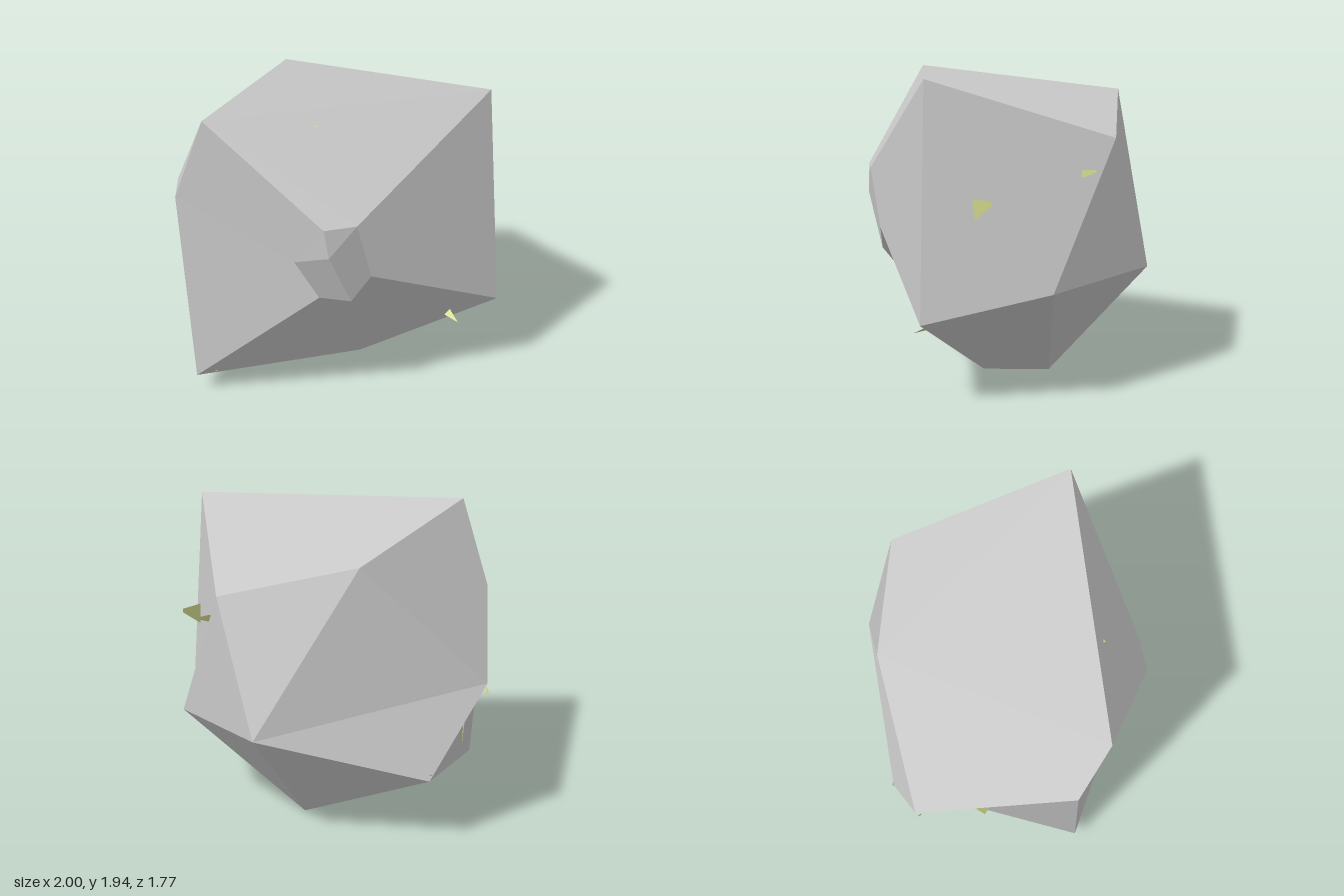
import * as THREE from 'three';

const points = (rows) => rows.map((p) => new THREE.Vector3(...p));

// Corners of the faceted boulder
const rockCorners = points([
  // 0-3 upper face
  [-0.83, 1.89, 0.57], [0.89, 1.94, 0.45], [0.65, 1.575, -0.66], [-0.19, 1.785, -0.74],
  // 4-8 sides
  [-1, 1.35, 0.4], [-0.955, 1.035, -0.585], [1, 0.53, 0.48], [0.94, 0.7, -0.29], [0.43, 0.75, -0.885],
  // 9-12 underside
  [-0.93, 0.12, 0.45], [-0.62, 0.46, -0.76], [0.18, 0.005, 0.13], [0.17, 0, -0.29],
  // 13-19 blunt nose at the front
  [-0.18, 1.3, 0.885], [0.02, 1.3, 0.855], [-0.15, 1.12, 0.89], [-0.34, 1.06, 0.785],
  [-0.19, 0.8, 0.77], [0, 0.77, 0.79], [0.12, 0.93, 0.79],
]);

// Facets, each a fan from its first corner
const rockFacets = [
  [1, 2, 3, 0], [0, 13, 14, 1], // top and upper front
  [6, 1, 2, 7], [14, 19, 6, 1], // left side
  [2, 8, 7], [2, 3, 8], [3, 5, 8], [5, 8, 10], [8, 12, 10], [7, 8, 12], // back
  [6, 7, 12, 11], [9, 11, 12, 10], // underside
  [4, 9, 10, 5], [0, 3, 5, 4], [0, 4, 16, 13], [4, 9, 17, 16], // right side
  [9, 11, 18, 17], [11, 6, 19, 18], // lower front
  [13, 16, 15], [13, 15, 14], [15, 16, 17, 18], [15, 18, 19, 14], // nose
];

// Thin shards poking out of the rock, each a fan of corners
const shards = [
  [[0.885, 1.255, 0.18], [0.98, 1.255, 0.065], [0.98, 1.23, 0.065], [0.885, 1.125, 0.165]],
  [[0.72, 1.345, -0.45], [0.72, 1.395, -0.46], [0.775, 1.405, -0.535], [0.775, 1.39, -0.54]],
  [[0.67, 0.415, 0.44], [0.705, 0.45, 0.435], [0.735, 0.408, 0.54]],
  [[-0.85, 0.715, -0.12], [-0.85, 0.645, -0.22], [-0.84, 0.43, -0.16]],
  [[-0.95, 1.0, -0.55], [-0.965, 0.98, -0.58], [-0.945, 0.93, -0.56]],
  [[-0.19, 1.825, 0.575], [-0.17, 1.825, 0.575], [-0.18, 1.82, 0.59]],
  [[-0.825, 0.15, 0.46], [-0.8, 0.15, 0.46], [-0.81, 0.155, 0.475]],
  [[-0.64, 0.5, -0.755], [-0.61, 0.5, -0.76], [-0.63, 0.51, -0.765]],
];

// Polygons facing away from the centre, each shaded with one averaged normal
function facetGeometry(polygons, center) {
  const positions = [];
  const normals = [];
  for (const corners of polygons) {
    const fan = [];
    const normal = new THREE.Vector3();
    for (let i = 1; i < corners.length - 1; i++) {
      const triangle = new THREE.Triangle(corners[0], corners[i], corners[i + 1]);
      normal.addScaledVector(triangle.getNormal(new THREE.Vector3()), triangle.getArea());
      fan.push([triangle.a, triangle.b, triangle.c]);
    }
    normal.normalize();
    const inward = normal.dot(corners[0].clone().sub(center)) < 0;
    if (inward) normal.negate();
    for (const [a, b, c] of fan) {
      for (const p of inward ? [a, c, b] : [a, b, c]) {
        positions.push(p.x, p.y, p.z);
        normals.push(normal.x, normal.y, normal.z);
      }
    }
  }
  const geometry = new THREE.BufferGeometry();
  geometry.setAttribute('position', new THREE.Float32BufferAttribute(positions, 3));
  geometry.setAttribute('normal', new THREE.Float32BufferAttribute(normals, 3));
  return geometry;
}

export function createModel() {
  const model = new THREE.Group();
  model.name = 'boulder';
  const center = new THREE.Vector3(0, 1, 0);

  const rock = new THREE.Mesh(
    facetGeometry(rockFacets.map((facet) => facet.map((i) => rockCorners[i])), center),
    new THREE.MeshStandardMaterial({ color: 0xcccccc }),
  );
  rock.name = 'rock';
  model.add(rock);

  const shardMaterial = new THREE.MeshStandardMaterial({ color: 0xd0d68a, side: THREE.DoubleSide });
  const shardGroup = new THREE.Group();
  shardGroup.name = 'shards';
  for (const corners of shards) {
    const shard = new THREE.Mesh(facetGeometry([points(corners)], center), shardMaterial);
    shard.name = 'shard';
    shardGroup.add(shard);
  }
  model.add(shardGroup);
  return model;
}
